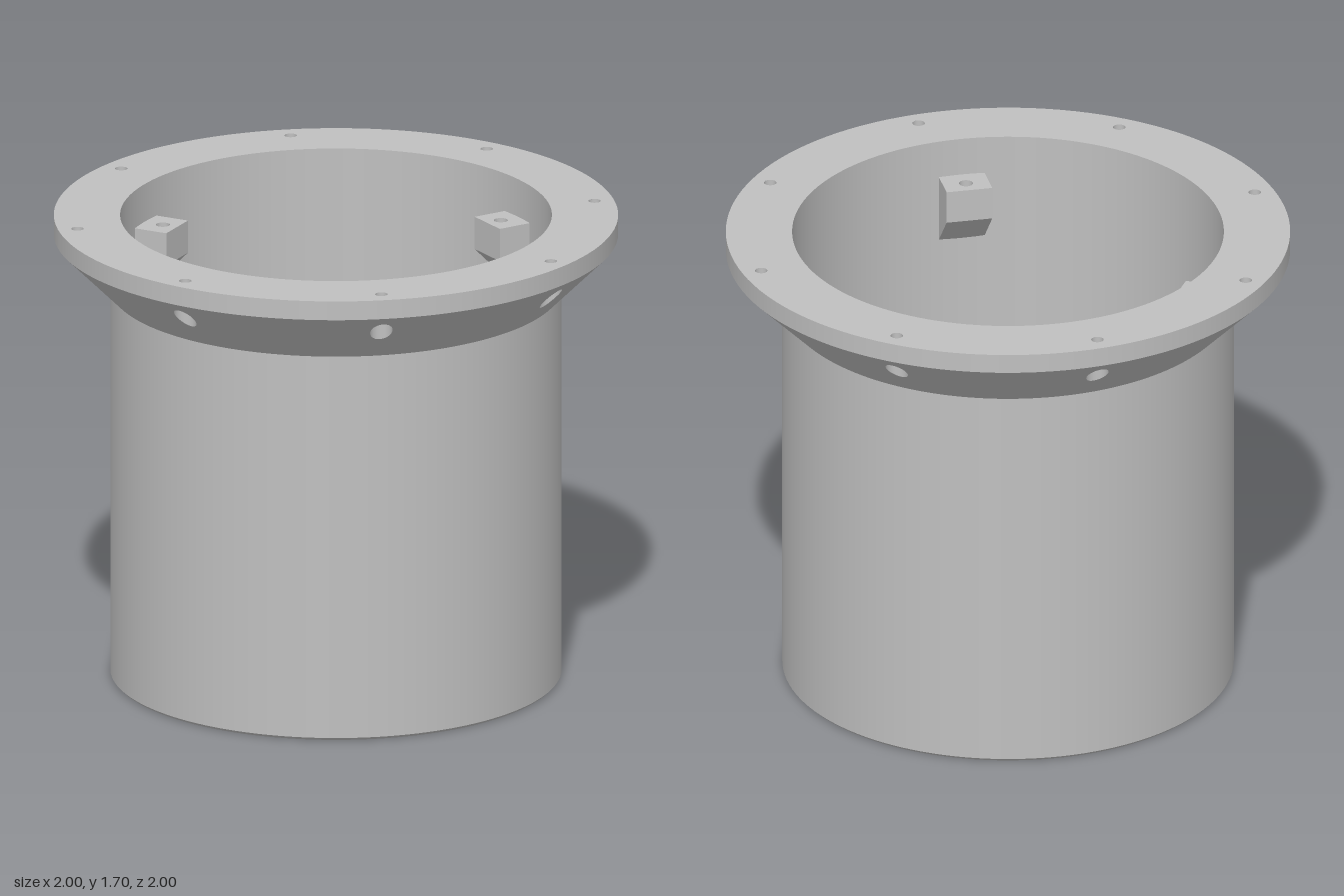
import * as THREE from 'three';

const V = (x, y) => new THREE.Vector2(x, y);
const HOLES = 8, HOLE_R = 0.93, STEP = Math.PI * 2 / HOLES;
const TOP = 1.7, LIP = 1.63, NECK = 1.43, OUT = 0.8, BORE = 0.765, FLOOR = 0.04;
const SEG = 128;
const coneY = r => NECK + (r - OUT) * (LIP - NECK) / (1 - OUT);

const circle = (Type, x, y, r) => {
  const c = new Type();
  c.absarc(x, y, r, 0, Math.PI * 2, false);
  return c;
};

export function createModel() {
  const model = new THREE.Group();
  const grey = new THREE.MeshStandardMaterial({ color: 0xc0c0c0 });
  grey.name = 'grey';
  const add = (name, geometry, parent = model) => {
    const mesh = new THREE.Mesh(geometry, grey);
    mesh.name = name;
    parent.add(mesh);
    return mesh;
  };
  // Straight turned surface: drawn upwards it faces out, downwards it faces in
  const turned = (r0, y0, r1, y1, seg = SEG, start = 0, length = Math.PI * 2) =>
    new THREE.LatheGeometry([V(r0, y0), V(r1, y1)], seg, start, length);

  // Cylindrical wall, bottom chamfer, bore and rim edge
  add('bottomChamfer', turned(0.79, 0, OUT, 0.01));
  add('outerWall', turned(OUT, 0.01, OUT, NECK));
  add('innerWall', turned(BORE, TOP, BORE, FLOOR - 0.005));
  add('flangeEdge', turned(1, LIP, 1, TOP));

  // Floor with one large hole and two small ones
  const floor = circle(THREE.Shape, 0, 0, 0.79);
  floor.holes.push(
    circle(THREE.Path, 0, -0.61, 0.073),
    circle(THREE.Path, 0.06, 0.285, 0.017),
    circle(THREE.Path, -0.06, 0.285, 0.017));
  add('floor', new THREE.ExtrudeGeometry(floor, { depth: FLOOR, bevelEnabled: false, curveSegments: 64 })
    .rotateX(-Math.PI / 2));

  // Flat flange top with its bolt holes
  const ring = circle(THREE.Shape, 0, 0, 1);
  ring.holes.push(circle(THREE.Path, 0, 0, BORE));
  for (let i = 0; i < HOLES; i++) {
    const a = (i + 0.5) * STEP;
    ring.holes.push(circle(THREE.Path, HOLE_R * Math.cos(a), HOLE_R * Math.sin(a), 0.022));
  }
  add('flangeTop', new THREE.ShapeGeometry(ring, 64).rotateX(-Math.PI / 2).translate(0, TOP, 0));

  // Conical underside: plain sectors alternate with narrow pierced ones
  const half = 0.07;
  for (let i = 0; i < HOLES; i++) {
    const a = (i + 0.5) * STEP;
    const x = HOLE_R * Math.cos(a), z = HOLE_R * Math.sin(a);
    const bolt = new THREE.Group();
    bolt.name = 'boltHole' + (i + 1);
    model.add(bolt);
    add('flangeCone', turned(OUT, NECK, 1, LIP, 16, a + half, STEP - 2 * half), bolt);

    const sector = new THREE.Shape();
    sector.absarc(0, 0, 1, a - half, a + half, false);
    sector.absarc(0, 0, OUT, a + half, a - half, true);
    sector.holes.push(circle(THREE.Path, x, z, 0.04));
    const patch = new THREE.ShapeGeometry(sector, 16).rotateX(Math.PI / 2);
    const p = patch.attributes.position, n = patch.attributes.normal;
    for (let j = 0; j < p.count; j++) {
      const r = Math.hypot(p.getX(j), p.getZ(j));
      p.setY(j, coneY(r));
      n.setXYZ(j, p.getX(j) / r * Math.SQRT1_2, -Math.SQRT1_2, p.getZ(j) / r * Math.SQRT1_2);
    }
    add('piercedCone', patch, bolt);

    // Bolt-head pocket trimmed to the cone, its roof, and the bolt bore
    const pocket = turned(0.04, LIP, 0.04, NECK, 32).translate(x, 0, z);
    const q = pocket.attributes.position;
    for (let j = 0; j < q.count; j++) {
      if (q.getY(j) < LIP - 0.01) q.setY(j, coneY(Math.hypot(q.getX(j), q.getZ(j))));
    }
    add('boltPocket', pocket, bolt);
    add('pocketRoof', new THREE.RingGeometry(0.022, 0.04, 32).rotateX(Math.PI / 2).translate(x, LIP, z), bolt);
    add('boltBore', turned(0.022, TOP, 0.022, LIP, 24).translate(x, 0, z), bolt);
  }

  // Three inner mounting blocks with blind holes and sloped undersides
  const w = 0.083, r0 = 0.635, r1 = 0.78;
  const blockTop = new THREE.Shape([V(r0, -w), V(r1, -w), V(r1, w), V(r0, w)]);
  blockTop.holes.push(circle(THREE.Path, 0.692, 0, 0.025));
  const topGeo = new THREE.ExtrudeGeometry(blockTop, { depth: 0.1, bevelEnabled: false, curveSegments: 24 })
    .rotateX(-Math.PI / 2).translate(0, 1.46, 0);
  const wedge = new THREE.Shape([V(r0, 1.46), V(r0, 1.44), V(r1, 1.295), V(r1, 1.46)]);
  const wedgeGeo = new THREE.ExtrudeGeometry(wedge, { depth: 2 * w, bevelEnabled: false }).translate(0, 0, -w);
  for (let i = 0; i < 3; i++) {
    const block = new THREE.Group();
    block.name = 'mountingBlock' + (i + 1);
    block.rotation.y = i * Math.PI * 2 / 3;
    add('blockTop', topGeo, block);
    add('blockWedge', wedgeGeo, block);
    model.add(block);
  }
  return model;
}
